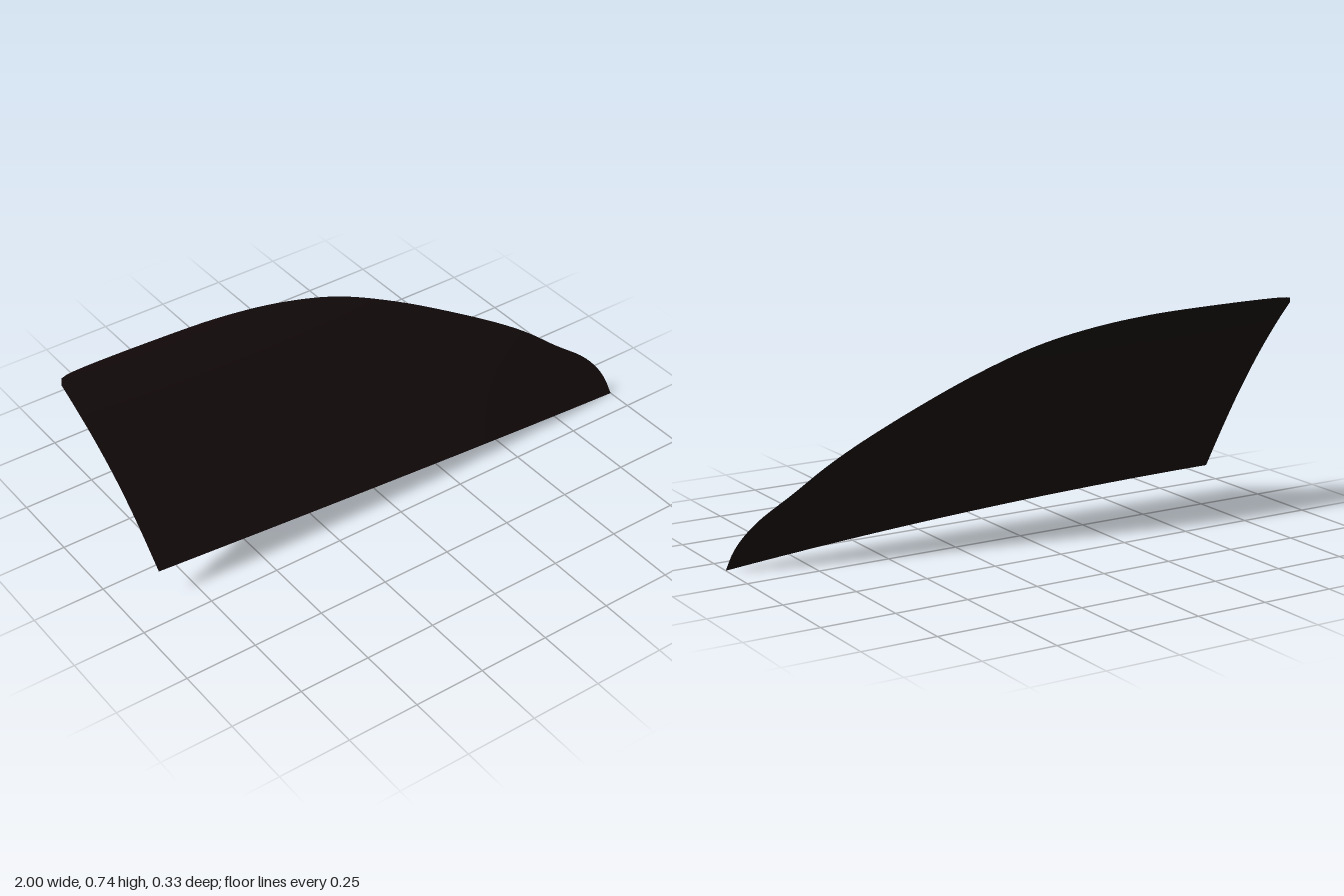
import * as THREE from 'three';

// Height of the lower edge at a given x
const sillY = (x) => 0.065 - 0.05 * x - 0.015 * x * x;

// Depth of the pane: leans back with height, bows outward mid-length
const paneZ = (x, y) => 0.19 - 0.42 * y - 0.16 * y ** 5 - 0.03 * (1 - y) * x * x;

// Upper edge, from the rounded rear corner to the front tip
const upperEdge = new THREE.CatmullRomCurve3([
  [-1, 0.72], [-0.993, 0.736], [-0.97, 0.741], [-0.6, 0.741], [-0.4, 0.733],
  [-0.2, 0.711], [0, 0.668], [0.2, 0.592], [0.4, 0.495], [0.6, 0.385],
  [0.7, 0.32], [0.8, 0.243], [0.91, 0.163], [0.96, 0.107], [0.985, 0.06], [1, 0],
].map(([x, y]) => new THREE.Vector3(x, y, 0)), false, 'centripetal');
upperEdge.arcLengthDivisions = 800;

export function createModel() {
  const group = new THREE.Group();
  group.name = 'sideWindow';

  // Curved pane: a flat grid stretched between the lower and upper edges
  const geometry = new THREE.PlaneGeometry(1, 1, 120, 24);
  const pos = geometry.attributes.position;
  const top = new THREE.Vector3();
  for (let i = 0; i < pos.count; i++) {
    const u = THREE.MathUtils.clamp(pos.getX(i) + 0.5, 0, 1);
    const v = THREE.MathUtils.clamp(pos.getY(i) + 0.5, 0, 1);
    upperEdge.getPointAt(u, top);
    const lowX = THREE.MathUtils.lerp(-0.865, 1, u);
    // Slight bow along the rear edge
    const bow = 0.012 * Math.sin(Math.PI * v) * (1 - u);
    const x = THREE.MathUtils.lerp(lowX, top.x, v) + bow;
    const y = THREE.MathUtils.lerp(sillY(lowX), top.y, v);
    pos.setXYZ(i, x, y, paneZ(x, y));
  }
  geometry.computeVertexNormals();

  const glass = new THREE.MeshStandardMaterial({ color: 0x180e0e, side: THREE.DoubleSide });
  const pane = new THREE.Mesh(geometry, glass);
  pane.name = 'glassPane';
  group.add(pane);
  return group;
}
